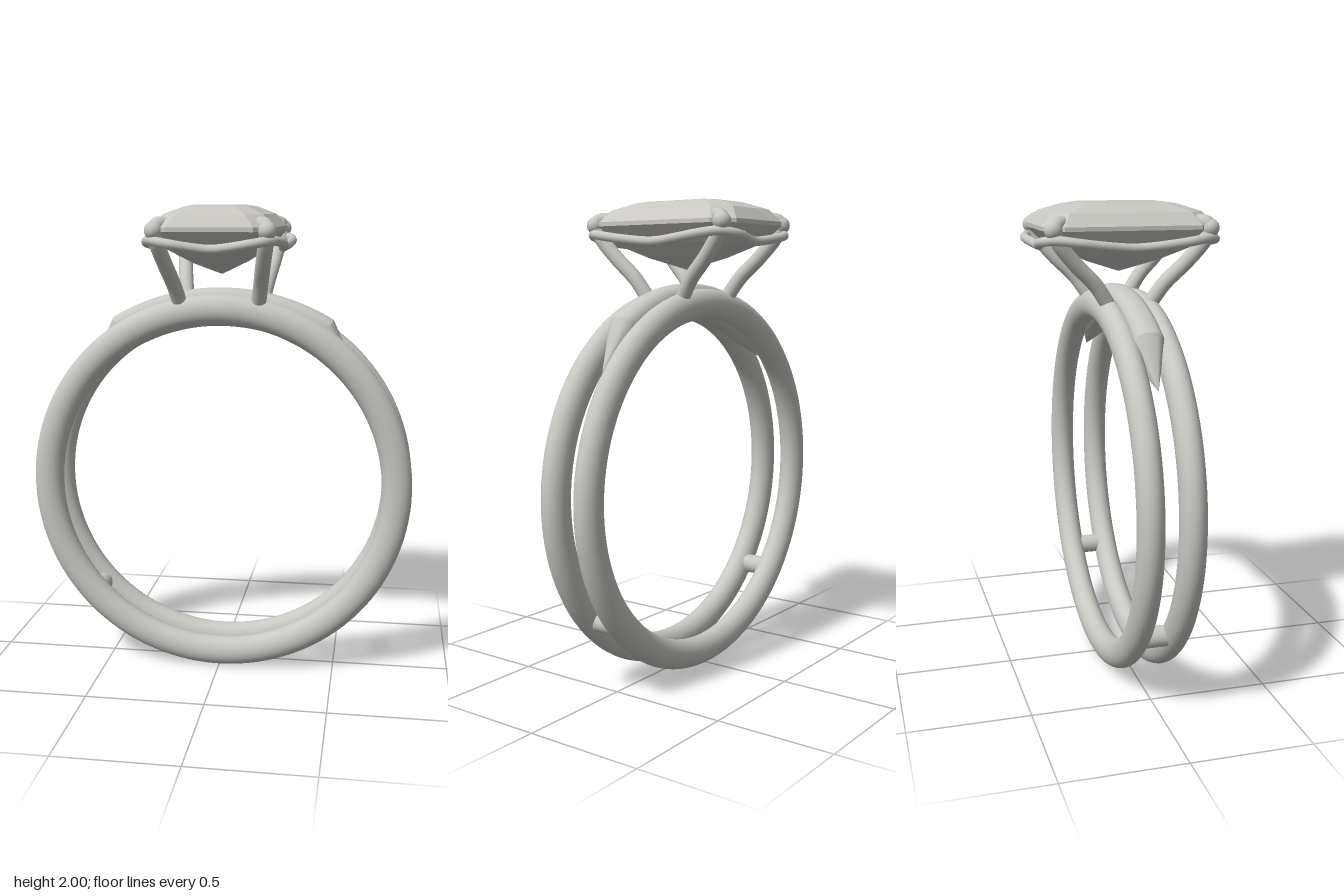
import * as THREE from 'three';
import { toCreasedNormals } from 'three/addons/utils/BufferGeometryUtils.js';

const V = (x, y, z) => new THREE.Vector3(x, y, z);
const CENTER = 0.818; // height of the ring axis
const BAND_R = 0.755;

// Skin closed cross-sections, closing both ends on a single point
function loft(rings, start, end, crease) {
  const tri = [];
  const n = rings[0].length;
  for (let j = 0; j < n; j++) {
    const k = (j + 1) % n;
    tri.push(start, rings[0][k], rings[0][j]);
    for (let i = 0; i < rings.length - 1; i++) {
      const a = rings[i][j], b = rings[i][k], c = rings[i + 1][k], d = rings[i + 1][j];
      tri.push(a, b, c, a, c, d);
    }
    const last = rings[rings.length - 1];
    tri.push(last[j], last[k], end);
  }
  const geo = new THREE.BufferGeometry().setFromPoints(tri);
  geo.computeVertexNormals();
  return crease ? toCreasedNormals(geo, crease) : geo;
}

export function createModel() {
  const model = new THREE.Group();
  model.name = 'ring';
  const metal = new THREE.MeshStandardMaterial({ color: 0xc8c7c2 });
  metal.name = 'pale grey';

  const add = (name, geo, parent = model) => {
    const mesh = new THREE.Mesh(geo, metal);
    mesh.name = name;
    parent.add(mesh);
    return mesh;
  };

  // Two parallel bands
  for (const s of [-1, 1]) {
    const band = add(s > 0 ? 'frontBand' : 'backBand', new THREE.TorusGeometry(BAND_R, 0.063, 28, 120));
    band.scale.z = 0.84;
    band.position.set(0, CENTER, s * 0.083);
  }

  // Pins joining the bands low on each side
  for (const s of [-1, 1]) {
    const pin = add(s > 0 ? 'leftPin' : 'rightPin', new THREE.CylinderGeometry(0.043, 0.043, 0.14, 24));
    pin.rotation.x = Math.PI / 2;
    pin.position.set(s * 0.557, CENTER - 0.51, 0);
  }

  // Curved bridge between the bands, tapering to a point at each end
  const sections = [];
  const reach = 0.585;
  for (let i = 0; i <= 32; i++) {
    const f = i / 16 - 1;
    const t = f * reach;
    const section = [];
    for (let j = 0; j < 24; j++) {
      const p = (j / 24) * Math.PI * 2;
      const bulge = (v) => Math.sign(v) * Math.pow(Math.abs(v), 0.75);
      const r = 0.76 + 0.012 * f * f + 0.081 * bulge(Math.cos(p));
      section.push(V(r * Math.sin(t), CENTER + r * Math.cos(t), 0.064 * bulge(Math.sin(p))));
    }
    sections.push(section);
  }
  add('bridge', loft(sections, V(-0.57, CENTER + 0.5, 0), V(0.57, CENTER + 0.5, 0), 0.5));

  // Step-cut stone: half width, half depth, corner cut and height of each step
  const steps = [
    [0.1, 0.15, 0.025, 1.765],
    [0.19, 0.285, 0.05, 1.825],
    [0.247, 0.356, 0.075, 1.895],
    [0.247, 0.356, 0.075, 1.912],
    [0.2, 0.315, 0.065, 1.962],
    [0.13, 0.225, 0.05, 1.992],
    [0.09, 0.17, 0.035, 2.0],
  ];
  const outlines = steps.map(([w, h, c, y]) => [
    V(c - w, y, h), V(w - c, y, h), V(w, y, h - c), V(w, y, c - h),
    V(w - c, y, -h), V(c - w, y, -h), V(-w, y, c - h), V(-w, y, h - c),
  ]);
  add('stone', loft(outlines, V(0, 1.715, 0), V(0, 2, 0)));

  // Four claws rising from the bands and folding over the stone corners
  for (const sx of [-1, 1]) {
    for (const sz of [-1, 1]) {
      const claw = new THREE.Group();
      claw.name = (sz > 0 ? 'front' : 'back') + (sx > 0 ? 'Left' : 'Right') + 'Claw';
      model.add(claw);
      const path = [
        [0.165, 1.6, 0.09], [0.18, 1.68, 0.145], [0.198, 1.765, 0.23],
        [0.216, 1.85, 0.3], [0.224, 1.9, 0.322], [0.213, 1.92, 0.306], [0.195, 1.923, 0.284],
      ].map(([x, y, z]) => V(sx * x, y, sz * z));
      const curve = new THREE.CatmullRomCurve3(path);
      add('clawWire', new THREE.TubeGeometry(curve, 40, 0.031, 16), claw);
      add('clawTip', new THREE.SphereGeometry(0.031, 18, 12), claw).position.copy(path[6]);
      add('clawShoulder', new THREE.SphereGeometry(0.037, 18, 12), claw).position.copy(path[4]);
      add('clawFoot', new THREE.SphereGeometry(0.031, 18, 12), claw).position.copy(path[0]);
    }
  }

  // Wavy wire running around under the stone
  const quarter = [
    [0.257, 1.828, 0], [0.272, 1.84, 0.14], [0.274, 1.852, 0.23], [0.243, 1.862, 0.315],
    [0.2, 1.856, 0.352], [0.15, 1.848, 0.364], [0.08, 1.836, 0.35], [0, 1.828, 0.338],
  ];
  const mirror = (pts, sx, sz) => pts.map(([x, y, z]) => V(sx * x, y, sz * z));
  const back = [...quarter].reverse();
  const loop = [
    ...mirror(quarter.slice(0, 7), 1, 1), ...mirror(back.slice(0, 7), -1, 1),
    ...mirror(quarter.slice(0, 7), -1, -1), ...mirror(back.slice(0, 7), 1, -1),
  ];
  const wire = new THREE.CatmullRomCurve3(loop, true);
  add('galleryWire', new THREE.TubeGeometry(wire, 200, 0.019, 12, true));

  return model;
}
